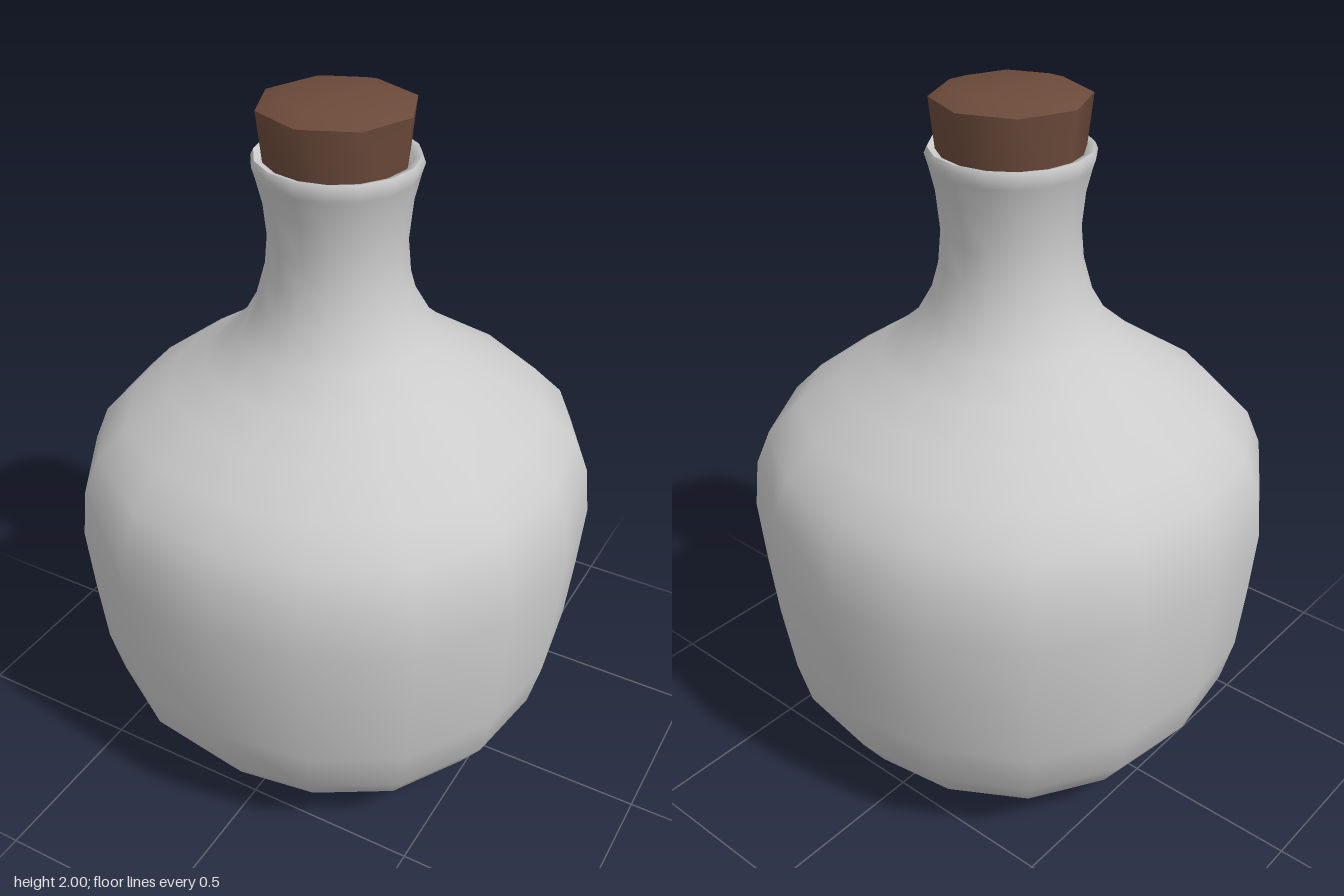
import * as THREE from 'three';
import { toCreasedNormals } from 'three/addons/utils/BufferGeometryUtils.js';

// Revolve a bottom-to-top profile of [radius, height] pairs
function lathe(profile, sides) {
  return new THREE.LatheGeometry(profile.map(([r, y]) => new THREE.Vector2(r, y)), sides);
}

// Round belly that is slightly squared, fading to a round neck
function squareOff(geometry) {
  const pos = geometry.attributes.position;
  for (let i = 0; i < pos.count; i++) {
    const x = pos.getX(i), y = pos.getY(i), z = pos.getZ(i);
    const fade = 1 - THREE.MathUtils.smoothstep(y, 1.1, 1.45);
    const k = 1 + 0.019 * fade * (1 - Math.cos(4 * Math.atan2(x, z)));
    pos.setXYZ(i, x * k, y, z * k);
  }
  return geometry;
}

export function createModel() {
  const model = new THREE.Group();
  model.name = 'corkedFlask';

  // Flask: rounded base, belly, shoulder, neck, flared lip and inner throat
  const flaskProfile = [
    [0, 0.005], [0.23, 0.025], [0.44, 0.07], [0.57, 0.15], [0.645, 0.26],
    [0.68, 0.4], [0.7, 0.6], [0.715, 0.79], [0.7, 0.93], [0.66, 1.03],
    [0.575, 1.12], [0.46, 1.2], [0.36, 1.27], [0.27, 1.35], [0.22, 1.44],
    [0.195, 1.53], [0.187, 1.62], [0.198, 1.73], [0.215, 1.8], [0.224, 1.83],
    [0.216, 1.847], [0.195, 1.84], [0.175, 1.78], [0.165, 1.62],
  ];
  const flask = new THREE.Mesh(
    toCreasedNormals(squareOff(lathe(flaskProfile, 16)), 1.4),
    new THREE.MeshStandardMaterial({ color: 0xcccccc, side: THREE.DoubleSide }),
  );
  flask.name = 'flask';
  model.add(flask);

  // Cork: tapered octagonal stopper with a slightly domed top
  const corkProfile = [[0, 1.7], [0.18, 1.7], [0.21, 1.975], [0.15, 1.996], [0, 2]];
  const cork = new THREE.Mesh(
    toCreasedNormals(lathe(corkProfile, 8), 0.9),
    new THREE.MeshStandardMaterial({ color: 0x6b4a3a }),
  );
  cork.name = 'cork';
  model.add(cork);

  return model;
}
